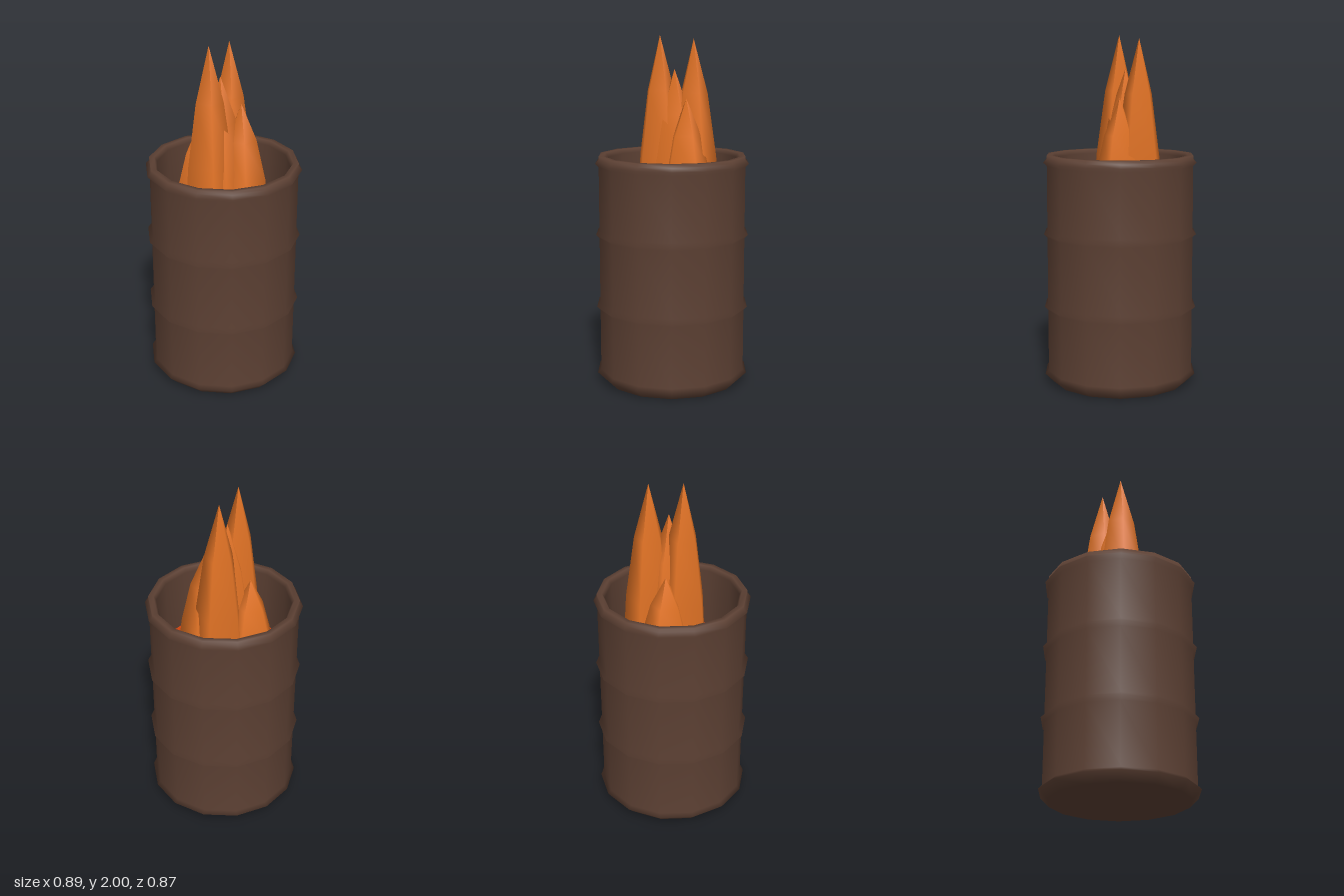
import * as THREE from 'three';

const brown = new THREE.MeshStandardMaterial({ color: 0x5c4033 });
brown.name = 'rusty brown';
const ember = new THREE.MeshStandardMaterial({ color: 0xcc420e });
ember.name = 'ember orange';
const fire = new THREE.MeshStandardMaterial({ color: 0xe27325 });
fire.name = 'flame orange';

const SIDES = 14;
const FLOOR = 0.95;

const lathe = (pairs, sides, phi) =>
  new THREE.LatheGeometry(pairs.map(([r, y]) => new THREE.Vector2(r, y)), sides, phi);

// Drum shell: base, wall with four ridges, rim and inner wall in one profile
function makeDrum() {
  const profile = [[0, 0], [0.395, 0], [0.445, 0.05], [0.425, 0.07]];
  for (const y of [0.45, 0.875, 1.285]) {
    profile.push([0.425, y - 0.02], [0.445, y], [0.425, y + 0.02]);
  }
  profile.push([0.425, 1.325], [0.395, 1.325], [0.38, 1.3], [0.38, FLOOR]);
  const drum = new THREE.Mesh(lathe(profile, SIDES, Math.PI / 2), brown);
  drum.name = 'drum';
  return drum;
}

// Five-sided bulging spike; angle is that of one corner, from +x towards +z
function makeFlame({ x, z, top, radius, angle }) {
  const h = top - FLOOR;
  const profile = [[1, 0], [0.85, 0.35], [0.52, 0.7], [0, 1]]
    .map(([r, t]) => [r * radius, t * h]);
  const phi = Math.PI / 2 - THREE.MathUtils.degToRad(angle);
  const flame = new THREE.Mesh(lathe(profile, 5, phi), fire);
  flame.position.set(x, FLOOR, z);
  return flame;
}

export function createModel() {
  const model = new THREE.Group();
  model.name = 'fireBarrel';
  model.add(makeDrum());

  // Glowing coals surface inside the drum
  const coals = new THREE.Mesh(new THREE.CircleGeometry(0.38, SIDES), ember);
  coals.name = 'coals';
  coals.rotation.x = -Math.PI / 2;
  coals.position.y = FLOOR;
  model.add(coals);

  // Flames
  const flames = new THREE.Group();
  flames.name = 'flames';
  [
    { name: 'frontFlame', x: -0.075, z: 0.04, top: 2.0, radius: 0.157, angle: 73 },
    { name: 'backFlame', x: 0.018, z: -0.127, top: 1.98, radius: 0.157, angle: -70 },
    { name: 'leftFlame', x: 0.095, z: -0.043, top: 1.65, radius: 0.167, angle: 0 },
    { name: 'rightFlame', x: -0.15, z: -0.08, top: 1.5, radius: 0.162, angle: 144 },
    { name: 'middleFlame', x: -0.02, z: -0.025, top: 1.81, radius: 0.175, angle: 71 },
  ].forEach((f) => {
    const flame = makeFlame(f);
    flame.name = f.name;
    flames.add(flame);
  });
  model.add(flames);
  return model;
}
